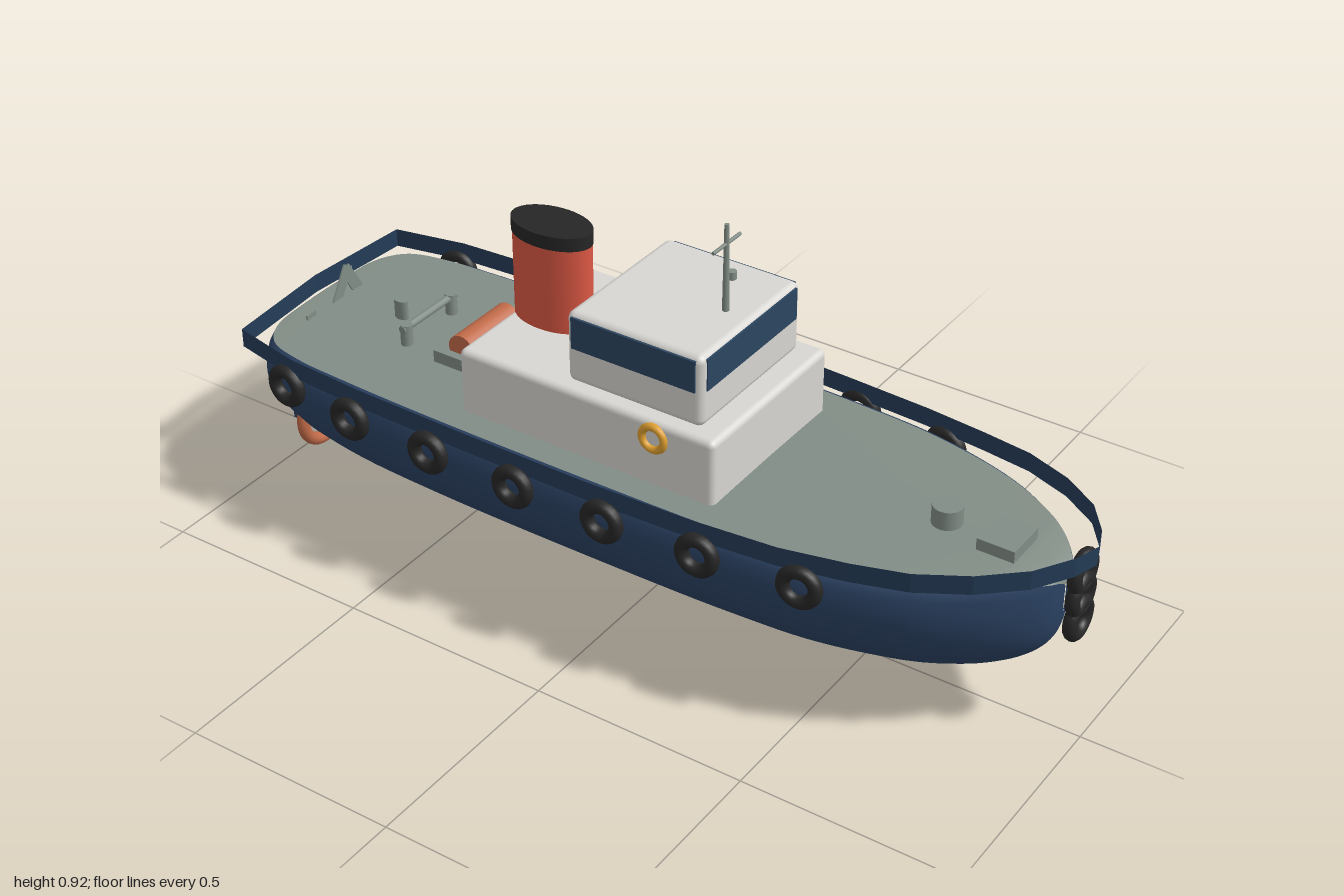
import * as THREE from 'three';
import { RoundedBoxGeometry } from 'three/addons/geometries/RoundedBoxGeometry.js';

const paint = (name, color, side = THREE.FrontSide) =>
  Object.assign(new THREE.MeshStandardMaterial({ color, side }), { name });

// Skin a list of equal-length cross-sections into a smooth surface
function loft(rows) {
  const n = rows[0].length, index = [];
  for (let i = 0; i < rows.length - 1; i++)
    for (let j = 0; j < n - 1; j++) {
      const a = i * n + j, b = a + n;
      index.push(a, a + 1, b, a + 1, b + 1, b);
    }
  const g = new THREE.BufferGeometry();
  g.setAttribute('position', new THREE.Float32BufferAttribute(rows.flat(2), 3));
  g.setIndex(index);
  g.computeVertexNormals();
  return g;
}

export function createModel() {
  const navy = paint('hull navy', 0x2b4263);
  const rail = paint('bulwark navy', 0x243c57, THREE.DoubleSide);
  const glass = paint('window blue', 0x2c4560);
  const grey = paint('deck grey', 0x828d86);
  const white = paint('cabin white', 0xd8d6d2);
  const red = paint('funnel red', 0xdc5844);
  const black = paint('rubber black', 0x262626);
  const copper = paint('copper', 0xc06a48);
  const gold = paint('lifebuoy gold', 0xe0a030);

  const boat = new THREE.Group();
  boat.name = 'tugboat';
  const add = (name, geo, mat, x = 0, y = 0, z = 0, rx = 0, ry = 0) => {
    const m = new THREE.Mesh(geo, mat);
    m.name = name;
    m.position.set(x, y, z);
    m.rotation.set(rx, ry, 0);
    boat.add(m);
    return m;
  };
  const box = (w, h, d) => new THREE.BoxGeometry(w, h, d);
  const cyl = (r, h, n = 24, top = r) => new THREE.CylinderGeometry(top, r, h, n);

  // Hull stations: x, half beam, keel height
  const stations = new THREE.CatmullRomCurve3([
    [-0.972, 0.002, 0.325], [-0.967, 0.13, 0.285], [-0.95, 0.215, 0.24], [-0.91, 0.27, 0.2],
    [-0.82, 0.298, 0.135], [-0.7, 0.308, 0.1], [-0.45, 0.317, 0.084], [0, 0.318, 0.08],
    [0.3, 0.312, 0.083], [0.5, 0.294, 0.09], [0.7, 0.238, 0.113], [0.82, 0.168, 0.147],
    [0.89, 0.105, 0.19], [0.922, 0.055, 0.235], [0.935, 0.002, 0.3],
  ].map(p => new THREE.Vector3(...p)), false, 'centripetal').getPoints(84);

  const hullRows = [], deckRows = [];
  for (const { x, y: w, z: keel } of stations) {
    const top = 0.36 + 0.045 * Math.sqrt(Math.min(1, w / 0.15));
    const row = [];
    const shoulder = [[0.885, 1], [0.95, 0.8], [0.985, 0.5]];
    for (const [f, h] of shoulder) row.push([x, 0.34 + (top - 0.34) * h, w * f]);
    for (let k = 0; k <= 24; k++) {
      const a = Math.PI * k / 24;
      row.push([x, 0.34 - (0.34 - keel) * Math.sin(a), w * Math.cos(a)]);
    }
    for (const [f, h] of shoulder.reverse()) row.push([x, 0.34 + (top - 0.34) * h, -w * f]);
    hullRows.push(row);
    deckRows.push([-1, -0.5, 0, 0.5, 1].map(f => [x, top + 0.004 * (1 - f * f), f * w * 0.885]));
  }
  add('hull', loft(hullRows), navy);
  add('deck', loft(deckRows), grey);

  // Raised bulwark strip, sweeping up at the bow
  const half = [[-0.995, 0], [-0.975, 0.272], [-0.8, 0.308], [-0.6, 0.32], [-0.3, 0.325], [0, 0.325],
    [0.25, 0.315], [0.45, 0.3], [0.6, 0.275], [0.72, 0.248], [0.83, 0.198], [0.92, 0.132], [0.975, 0.055], [0.995, 0]];
  const outline = [...half, ...half.slice(1, -1).reverse().map(([x, z]) => [x, -z]), half[0]];
  add('bulwark', loft(outline.map(([x, z]) => {
    const lift = 0.048 * Math.pow(Math.max(0, (x - 0.3) / 0.7), 1.7);
    return [[x, 0.435 + lift, z], [x, 0.39 + lift, z]];
  })).toNonIndexed(), rail).geometry.computeVertexNormals();

  // Tyre fenders along both sides and stacked on the bow
  const tyre = new THREE.TorusGeometry(0.036, 0.0155, 12, 28);
  const tyres = [[-0.82, 0.307, -0.08], [-0.62, 0.332, -0.03], [-0.4, 0.338, 0], [-0.175, 0.338, 0],
    [0.05, 0.335, 0.02], [0.275, 0.322, 0.05], [0.5, 0.296, 0.1]];
  for (const s of [1, -1])
    for (const [x, z, turn] of tyres) add('sideTyre', tyre, black, x, 0.36, s * z, 0, s * turn);
  for (const y of [0.412, 0.356, 0.298]) add('bowTyre', tyre, black, 0.968, y, 0, 0, Math.PI / 2);

  // Deckhouse and wheelhouse
  add('deckhouse', new RoundedBoxGeometry(0.645, 0.17, 0.44, 3, 0.015), white, -0.077, 0.473, 0);
  add('wheelhouse', new RoundedBoxGeometry(0.335, 0.168, 0.374, 3, 0.018), white, 0.028, 0.64, 0);
  for (const s of [1, -1]) {
    add('sideWindow', box(0.305, 0.074, 0.006), glass, 0.028, 0.678, s * 0.187);
    add('lifebuoy', new THREE.TorusGeometry(0.027, 0.009, 12, 28), gold, 0.1, 0.52, s * 0.221);
  }
  add('frontWindow', box(0.006, 0.074, 0.338), glass, 0.195, 0.678, 0);

  // Oval funnel with black cap
  add('funnel', cyl(0.097, 0.22, 40), red, -0.308, 0.655, 0).scale.z = 0.6;
  add('funnelCap', cyl(0.099, 0.032, 40), black, -0.308, 0.777, 0).scale.z = 0.61;

  // Mast with yard and lamp
  add('mast', cyl(0.008, 0.205, 12, 0.005), grey, 0.13, 0.8225, 0);
  add('yard', cyl(0.004, 0.1, 8), grey, 0.13, 0.88, 0, Math.PI / 2);
  add('mastLamp', cyl(0.01, 0.018, 12), grey, 0.13, 0.797, -0.022);

  // Aft deck: towing winch, tow bar and post
  add('winchBase', box(0.125, 0.035, 0.21), grey, -0.502, 0.42, 0);
  add('winchDrum', cyl(0.034, 0.17), copper, -0.502, 0.45, 0, Math.PI / 2);
  for (const s of [1, -1]) add('towBarPost', cyl(0.014, 0.055, 16), grey, -0.66, 0.432, s * 0.08);
  add('towBar', cyl(0.009, 0.19, 12), grey, -0.66, 0.45, 0, Math.PI / 2);
  add('aftPost', cyl(0.018, 0.05, 16), grey, -0.74, 0.43, 0).scale.z = 0.6;

  // Fore deck: capstan and hatch
  add('capstan', cyl(0.033, 0.045), grey, 0.665, 0.43, 0);
  add('foreHatch', box(0.085, 0.035, 0.1), grey, 0.8, 0.418, 0);

  // Rudders, propeller rings and blades
  add('centreRudder', box(0.16, 0.17, 0.018), navy, -0.877, 0.135, 0);
  for (const s of [1, -1]) {
    add('sideRudder', box(0.05, 0.14, 0.012), navy, -0.975, 0.17, s * 0.1);
    add('propellerRing', new THREE.TorusGeometry(0.068, 0.015, 12, 32), copper, -0.91, 0.15, s * 0.104, 0, Math.PI / 2);
  }
  const blades = [[-0.012, 0.012, 0.1, 0.2], [-0.205, 0.125, -0.01, 0.475],
    [0.07, 0.33, -0.02, 0.48], [0.1, 0.2, 0.115, 0.42]];
  for (const [z0, y0, z1, y1] of blades)
    add('propellerBlade', box(0.004, Math.hypot(z1 - z0, y1 - y0), 0.03), grey,
      -0.91, (y0 + y1) / 2, (z0 + z1) / 2, Math.atan2(z1 - z0, y1 - y0));

  return boat;
}
